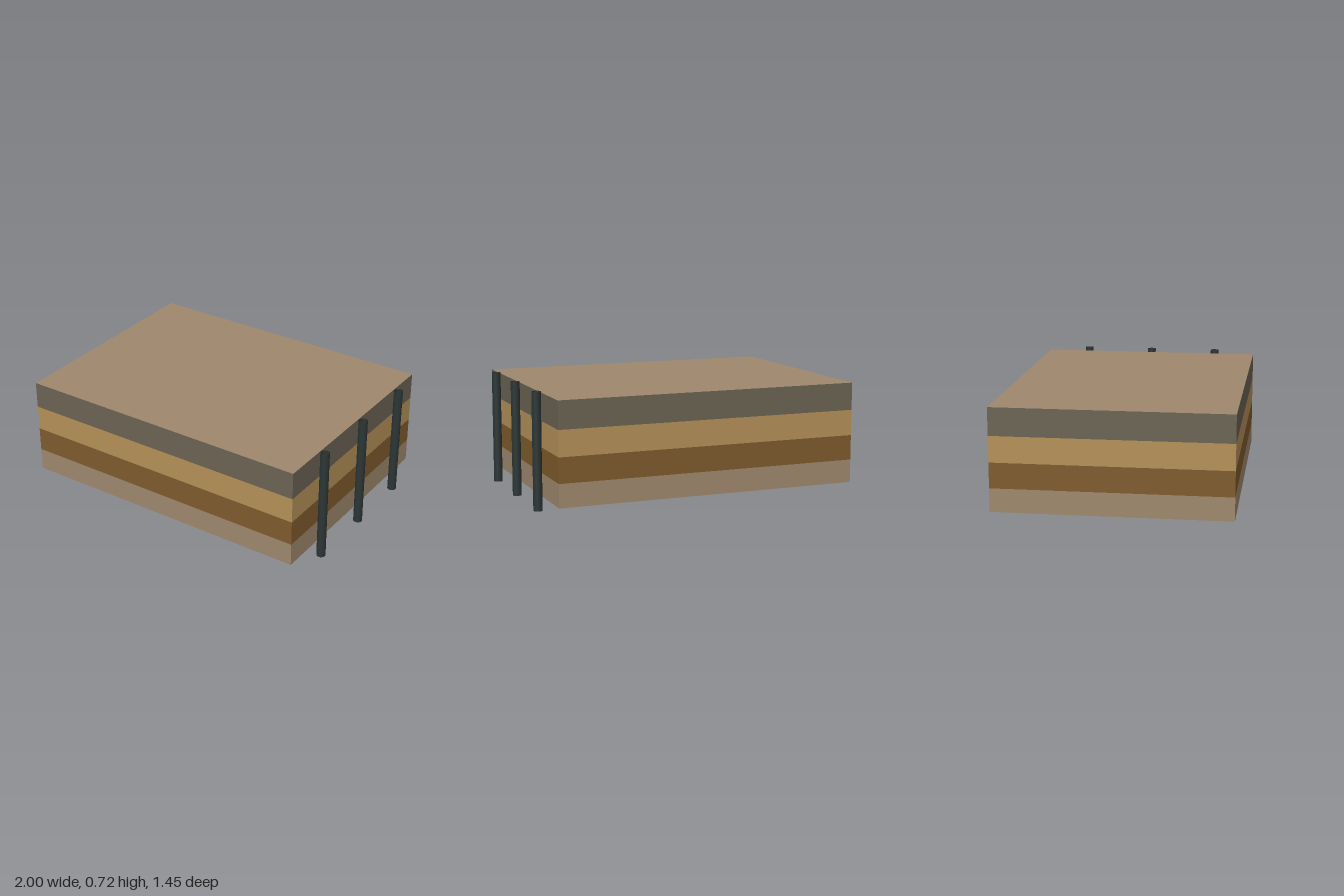
import * as THREE from 'three';

const mat = (name, color, extra = {}) => {
  const m = new THREE.MeshStandardMaterial({ color, ...extra });
  m.name = name;
  return m;
};

export function createModel() {
  const group = new THREE.Group();
  const tan = mat('tan', 0x9e886d);
  const brown = mat('brown', 0x7e5b2d);
  const ochre = mat('ochre', 0xb49058);
  const grey = mat('greyBrown', 0x6b6353);
  const pipe = mat('darkPipe', 0x2c3535, { side: THREE.DoubleSide });

  // Stacked strata of the block; the block's top face is tan
  const layers = [
    ['bottomLayer', 0.07, 0.215, tan],
    ['brownLayer', 0.215, 0.372, brown],
    ['ochreLayer', 0.372, 0.533, ochre],
    ['topLayer', 0.533, 0.705, [grey, grey, tan, grey, grey, grey]],
  ];
  for (const [name, y0, y1, material] of layers) {
    const layer = new THREE.Mesh(new THREE.BoxGeometry(1.926, y1 - y0, 1.45), material);
    layer.name = name;
    layer.position.set(-0.037, (y0 + y1) / 2, 0);
    group.add(layer);
  }

  // Open pipes standing beside the block
  const pipeGeometry = new THREE.CylinderGeometry(0.028, 0.028, 0.722, 32, 1, true);
  for (const z of [-0.45, 0, 0.45]) {
    const tube = new THREE.Mesh(pipeGeometry, pipe);
    tube.name = 'pipe';
    tube.position.set(0.972, 0.361, z);
    group.add(tube);
  }
  return group;
}
